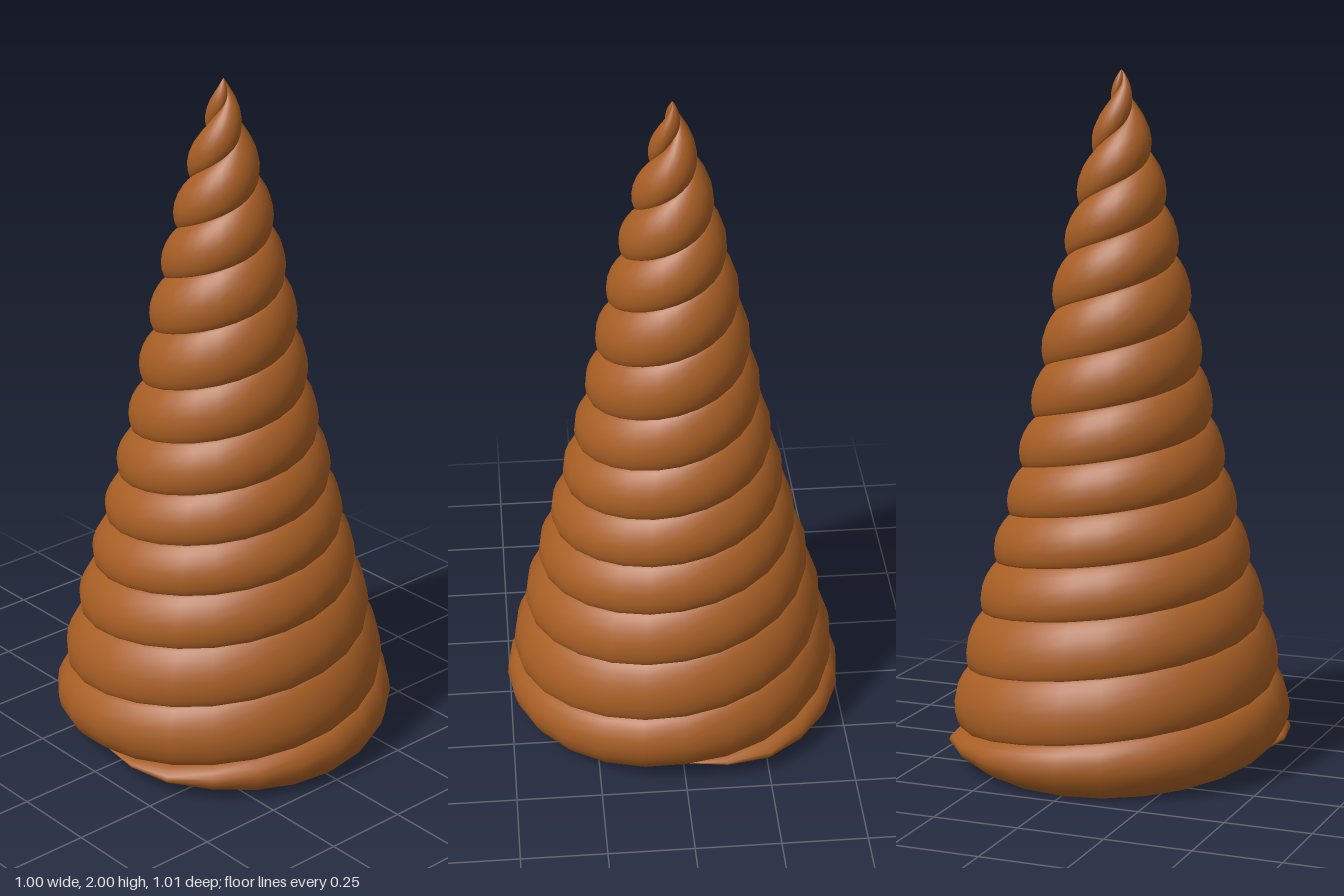
import * as THREE from 'three';

// Seam height after each half turn, and outer radius by height
const SEAMS = [0.06, 0.24, 0.41, 0.56, 0.70, 0.84, 0.985, 1.135, 1.295, 1.455, 1.6, 1.75, 1.9, 2, 2];
const OUTLINE = [[0, 0.515], [0.15, 0.498], [0.33, 0.458], [0.49, 0.414], [0.77, 0.336], [1.05, 0.266],
  [1.38, 0.2], [1.67, 0.13], [1.82, 0.086], [1.93, 0.04], [2, 0]];
const STEPS = 12; // per half turn
const ARC = 8; // across a strand
const HALF_TURNS = 14;
const BASE_Y = 0.06, BASE_SLOPE = 0.133, BASE_R = 0.45;

const lerp = THREE.MathUtils.lerp;

function seamHeight(k) {
  const i = Math.min(Math.floor(k), SEAMS.length - 2);
  return lerp(SEAMS[i], SEAMS[i + 1], k - i);
}

function outerRadius(y) {
  const i = Math.max(1, OUTLINE.findIndex((p) => p[0] >= y));
  const [y0, r0] = OUTLINE[i - 1], [y1, r1] = OUTLINE[i];
  return lerp(r0, r1, (y - y0) / (y1 - y0));
}

const grooveDepth = (r) => Math.min(0.027, r * 0.45);

// Groove point [radius, height] at k half turns; below zero it is the rim of the base
function groove(k) {
  if (k < 0) return [BASE_R, BASE_Y - BASE_SLOPE * BASE_R * Math.abs(Math.sin(k * Math.PI))];
  const y = seamHeight(k), r = outerRadius(y);
  const inner = r - grooveDepth(r);
  return [lerp(inner, BASE_R, Math.exp(-k * 5)), y];
}

function place(k, r, y) {
  return [-Math.cos(k * Math.PI) * r, y, Math.sin(k * Math.PI) * r];
}

function buildGeometry(points, index) {
  const g = new THREE.BufferGeometry();
  g.setAttribute('position', new THREE.Float32BufferAttribute(points, 3));
  g.setIndex(index);
  g.computeVertexNormals();
  return g;
}

// Bulging ribbon wound from the base to the tip
function strandGeometry() {
  const points = [], index = [], row = ARC + 1;
  const rows = STEPS * HALF_TURNS;
  for (let i = 0; i <= rows; i++) {
    const k = i / STEPS;
    const [r0, y0] = groove(k - 1), [r1, y1] = groove(k);
    const mid = outerRadius((y0 + y1) / 2);
    const bulge = Math.max(0, mid - (r0 + r1) / 2) * Math.min(1, (y1 - y0) / 0.06);
    for (let j = 0; j <= ARC; j++) {
      const t = (1 - Math.cos((j / ARC) * Math.PI)) / 2;
      const r = lerp(r0, r1, t) + bulge * Math.sin(t * Math.PI) ** 0.7;
      points.push(...place(k, r, lerp(y0, y1, t)));
      if (i < rows && j < ARC) {
        const a = i * row + j, b = a + row;
        index.push(a, b, b + 1, a, b + 1, a + 1);
      }
    }
  }
  return buildGeometry(points, index);
}

// Tilted half disc closing the lower end of a strand
function baseGeometry() {
  const points = [0, BASE_Y, 0], index = [];
  for (let i = 0; i <= STEPS; i++) {
    const k = i / STEPS;
    points.push(...place(k, ...groove(k - 1 - 1e-9)));
    if (i < STEPS) index.push(0, i + 2, i + 1);
  }
  return buildGeometry(points, index);
}

export function createModel() {
  const horn = new THREE.Group();
  horn.name = 'twistedHorn';
  const brown = new THREE.MeshStandardMaterial({ color: 0xa85e24 });
  brown.name = 'hornBrown';

  const strandShape = strandGeometry();
  const baseShape = baseGeometry();

  // Two identical strands, half a turn apart
  for (const [i, side] of ['first', 'second'].entries()) {
    const half = new THREE.Group();
    half.name = side + 'Half';
    const strand = new THREE.Mesh(strandShape, brown);
    strand.name = side + 'Strand';
    const base = new THREE.Mesh(baseShape, brown);
    base.name = side + 'Base';
    half.add(strand, base);
    half.rotation.y = i * Math.PI;
    horn.add(half);
  }
  return horn;
}
